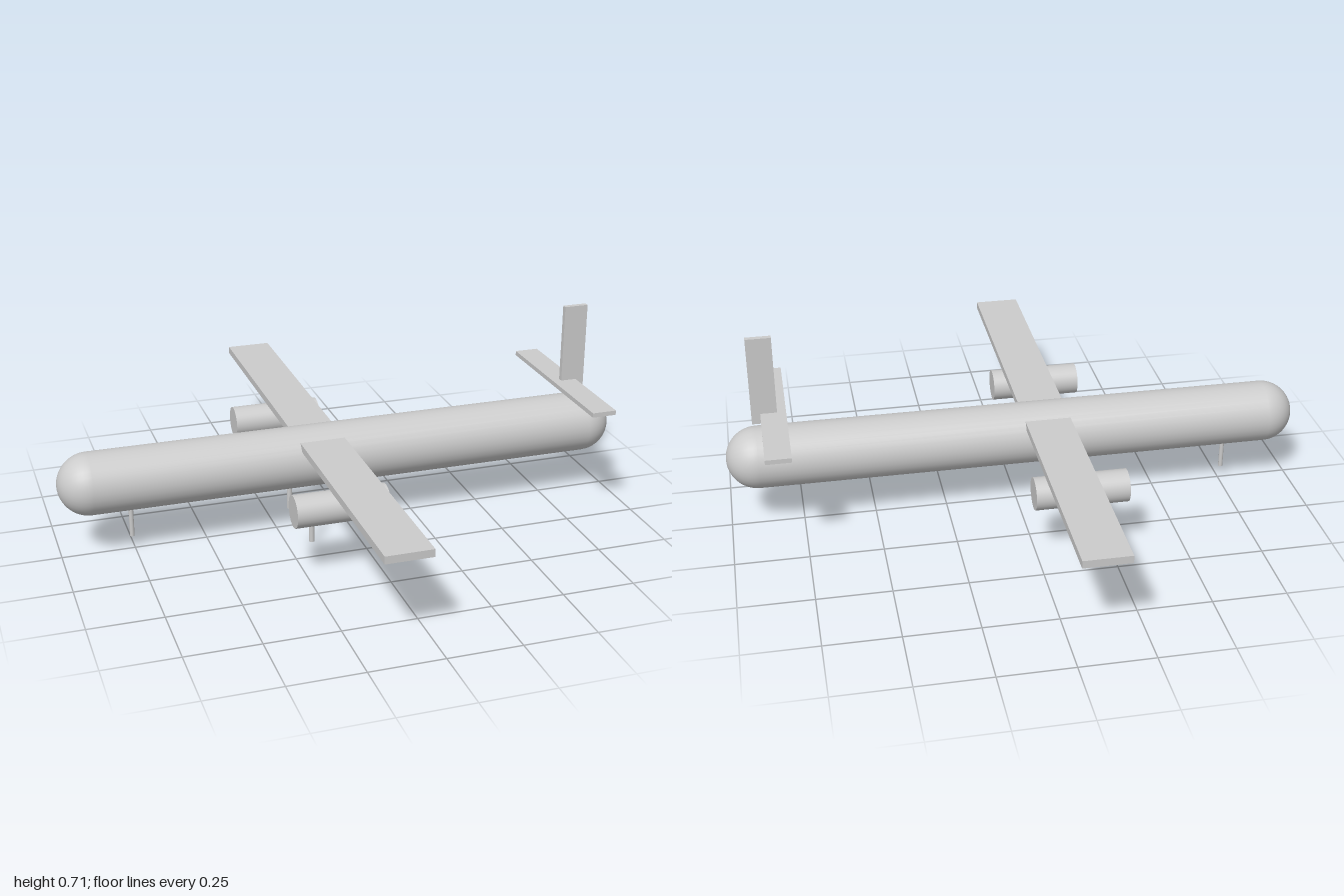
import * as THREE from 'three';

export function createModel() {
  const model = new THREE.Group();
  const material = new THREE.MeshStandardMaterial({ color: 0xcccccc });

  const add = (name, geometry, x, y, z) => {
    const mesh = new THREE.Mesh(geometry, material);
    mesh.name = name;
    mesh.position.set(x, y, z);
    model.add(mesh);
    return mesh;
  };

  // Round-ended fuselage lying along x, nose at -x
  const radius = 0.107;
  const fuselage = new THREE.CapsuleGeometry(radius, 2 - 2 * radius, 12, 32);
  add('fuselage', fuselage.rotateZ(Math.PI / 2), 0, 0.261, 0);

  // Straight main wing passing through the fuselage
  add('wing', new THREE.BoxGeometry(0.158, 0.026, 1.88), -0.1, 0.328, 0);

  // Tail surfaces
  add('tailplane', new THREE.BoxGeometry(0.086, 0.016, 0.652), 0.829, 0.421, 0);
  add('tailFin', new THREE.BoxGeometry(0.086, 0.314, 0.018), 0.859, 0.549, 0);

  // Engines and main landing gear, mirrored across the fuselage
  for (const [side, s] of [['left', 1], ['right', -1]]) {
    const engine = new THREE.CylinderGeometry(0.055, 0.055, 0.314, 32);
    add(side + 'Engine', engine.rotateZ(Math.PI / 2), -0.142, 0.25, s * 0.395);
    add(side + 'MainGear', new THREE.CylinderGeometry(0.01, 0.01, 0.18, 12), -0.162, 0.09, s * 0.138);
  }

  // Nose gear, its top sunk into the fuselage
  add('noseGear', new THREE.CylinderGeometry(0.008, 0.008, 0.13, 12), -0.758, 0.112, 0);

  return model;
}
